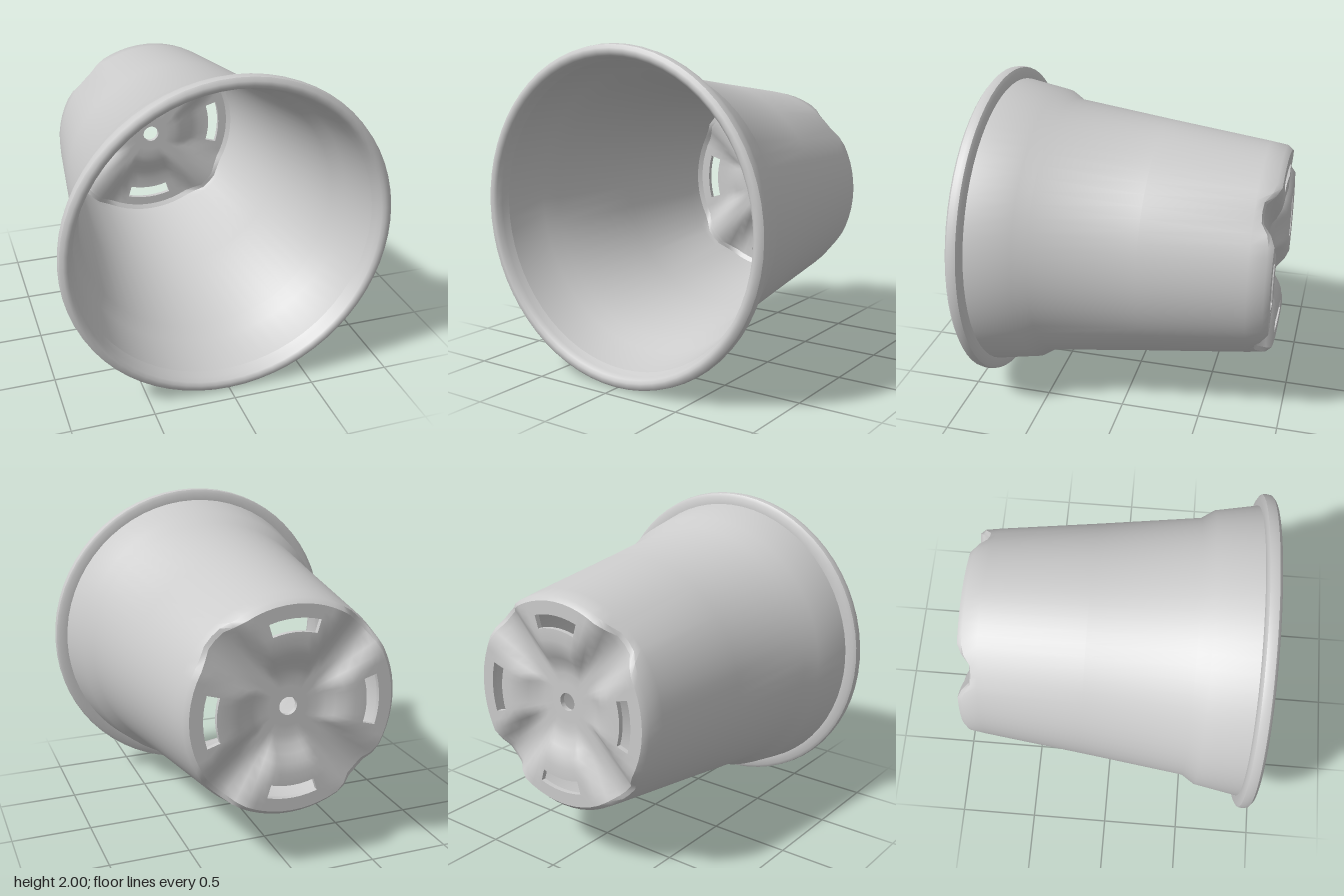
import * as THREE from 'three';
import { toCreasedNormals } from 'three/addons/utils/BufferGeometryUtils.js';

const SEG = 64, AXIS_Y = 1, SLOT = 3; // SLOT: half width of a drain slot in segments
const SLOT_IN = 0.46, SLOT_OUT = 0.54;
const angle = (j) => (j / SEG) * Math.PI * 2;

// 0 on the four feet, 1 in the diagonal grooves and the middle of the base
function groove(r, a) {
  const q = Math.PI / 2;
  const fromDiagonal = Math.abs(((a % q) + q) % q - q / 2);
  const across = THREE.MathUtils.smoothstep(r * Math.sin(fromDiagonal), 0.04, 0.17);
  const along = THREE.MathUtils.smoothstep(r, 0.18, 0.38);
  return 1 - Math.min(across, along);
}

// A ring point [radius, z, lift]; lift is how far the grooves push it inwards
function point([r, z, lift = 0], a) {
  return [r * Math.cos(a), AXIS_Y + r * Math.sin(a), z + lift * groove(r, a)];
}

// Sweep a profile round the pot's axis, leaving out the cells that skip() picks
function sweep(profile, skip = () => false) {
  const pos = [], index = [];
  for (const p of profile) for (let j = 0; j < SEG; j++) pos.push(...point(p, angle(j)));
  for (let i = 0; i < profile.length - 1; i++) {
    for (let j = 0; j < SEG; j++) {
      if (skip(profile[i], profile[i + 1], j)) continue;
      const k = (j + 1) % SEG;
      const a = i * SEG + j, b = a + SEG, c = i * SEG + k, d = c + SEG;
      index.push(a, c, b, b, c, d);
    }
  }
  return finish(pos, index);
}

function finish(pos, index) {
  const g = new THREE.BufferGeometry();
  g.setAttribute('position', new THREE.Float32BufferAttribute(pos, 3));
  g.setIndex(index);
  return toCreasedNormals(g, 0.7);
}

const OUT_Z = -0.91, IN_Z = -0.88, LIFT = 0.08;

// Thin edge joining the two faces of the floor round one slot
function slotEdge(centre) {
  const loop = [];
  for (let j = -SLOT; j <= SLOT; j++) loop.push([SLOT_OUT, angle(centre + j)]);
  for (let j = SLOT; j >= -SLOT; j--) loop.push([SLOT_IN, angle(centre + j)]);
  const pos = [], index = [], n = loop.length;
  for (const [r, a] of loop) pos.push(...point([r, OUT_Z, LIFT], a), ...point([r, IN_Z, LIFT], a));
  for (let i = 0; i < n; i++) {
    const a = 2 * i, b = 2 * ((i + 1) % n);
    index.push(a, b, a + 1, a + 1, b, b + 1);
  }
  return finish(pos, index);
}

export function createModel() {
  const pot = new THREE.Group();
  pot.name = 'plantPot';
  const material = new THREE.MeshStandardMaterial({ color: 0xcccccc, side: THREE.DoubleSide });
  const add = (name, geometry) => {
    const mesh = new THREE.Mesh(geometry, material);
    mesh.name = name;
    pot.add(mesh);
  };

  // Tapered outer wall with its stepped collar
  add('outerWall', sweep([
    [0.62, OUT_Z, LIFT], [0.647, -0.88, 0.06], [0.662, -0.78], [0.74, -0.15],
    [0.822, 0.48], [0.875, 0.56], [0.925, 0.83],
  ]));

  // Rounded rim round the mouth
  add('rim', sweep([
    [0.925, 0.83], [0.975, 0.832], [0.995, 0.845], [1, 0.87], [0.995, 0.9],
    [0.975, 0.917], [0.95, 0.918], [0.932, 0.905], [0.922, 0.87], [0.905, 0.83],
  ]));

  // Inside of the wall, from the mouth down to the floor
  add('innerWall', sweep([
    [0.905, 0.83], [0.855, 0.57], [0.802, 0.49], [0.72, -0.15], [0.642, -0.77],
    [0.628, -0.86, 0.06], [0.6, IN_Z, LIFT],
  ]));

  // Floor: outer and inner faces, open at the middle and at the four slots
  const radii = [0.055, 0.12, 0.18, 0.23, 0.28, 0.33, 0.39, SLOT_IN, SLOT_OUT, 0.58];
  const outer = [...radii, 0.62].map((r) => [r, OUT_Z, LIFT]);
  const inner = [...radii, 0.6].reverse().map((r) => [r, IN_Z, LIFT]);
  const inSlot = (p, q, j) =>
    Math.min(p[0], q[0]) === SLOT_IN && Math.max(p[0], q[0]) === SLOT_OUT &&
    (j + SLOT) % (SEG / 4) < 2 * SLOT;
  add('floorOutside', sweep(outer, inSlot));
  add('floorInside', sweep(inner, inSlot));
  add('centreHoleEdge', sweep([inner[inner.length - 1], outer[0]]));
  for (let i = 0; i < 4; i++) add('drainSlotEdge' + (i + 1), slotEdge((i * SEG) / 4));

  return pot;
}
